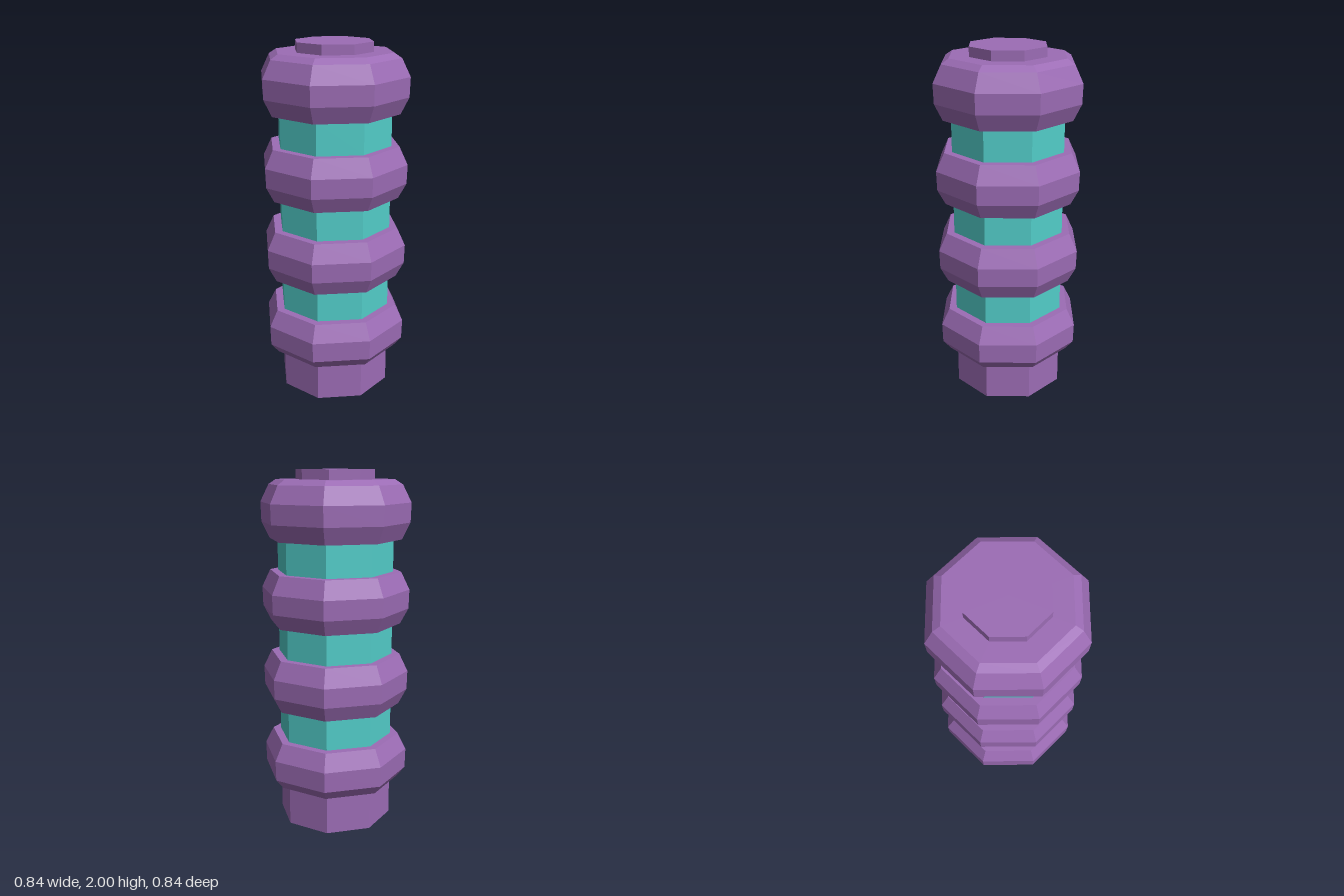
import * as THREE from 'three';

const SIDES = 8;
const CORE = 0.325;

export function createModel() {
  const model = new THREE.Group();
  model.name = 'ribbedGrip';
  const purple = new THREE.MeshStandardMaterial({ color: 0x9c6cb5, flatShading: true });
  const teal = new THREE.MeshStandardMaterial({ color: 0x52cdc9, flatShading: true });

  // Octagonal solid of revolution; profile is [radius, y] from bottom to top
  const turn = (name, profile, material) => {
    const points = profile.map(([r, y]) => new THREE.Vector2(r, y));
    const mesh = new THREE.Mesh(new THREE.LatheGeometry(points, SIDES), material);
    mesh.name = name;
    model.add(mesh);
  };

  // Base with closed underside
  turn('base', [[0, 0], [CORE, 0], [CORE, 0.24]], purple);

  // Bevelled rings: heights of bottom, lower edge, upper edge, top
  const rings = [
    [0.233, 0.29, 0.405, 0.5],
    [0.685, 0.772, 0.88, 0.98],
    [1.157, 1.243, 1.35, 1.449],
    [1.626, 1.718, 1.825, 1.92],
  ];
  rings.forEach(([y0, y1, y2, y3], i) => {
    const profile = [[CORE, y0], [0.37, y0], [0.415, y1], [0.418, y2], [0.37, y3]];
    // The last ring closes over in a shallow bevel
    if (i === rings.length - 1) profile.push([0.328, 1.947], [0, 1.947]);
    else profile.push([CORE, y3]);
    turn(`ring${i + 1}`, profile, purple);
  });

  // Coloured sleeves between the rings
  for (let i = 0; i < rings.length - 1; i++) {
    turn(`sleeve${i + 1}`, [[CORE, rings[i][3]], [CORE, rings[i + 1][0]]], teal);
  }

  // Small raised cap
  turn('cap', [[0.218, 1.94], [0.218, 2], [0, 2]], purple);

  return model;
}
